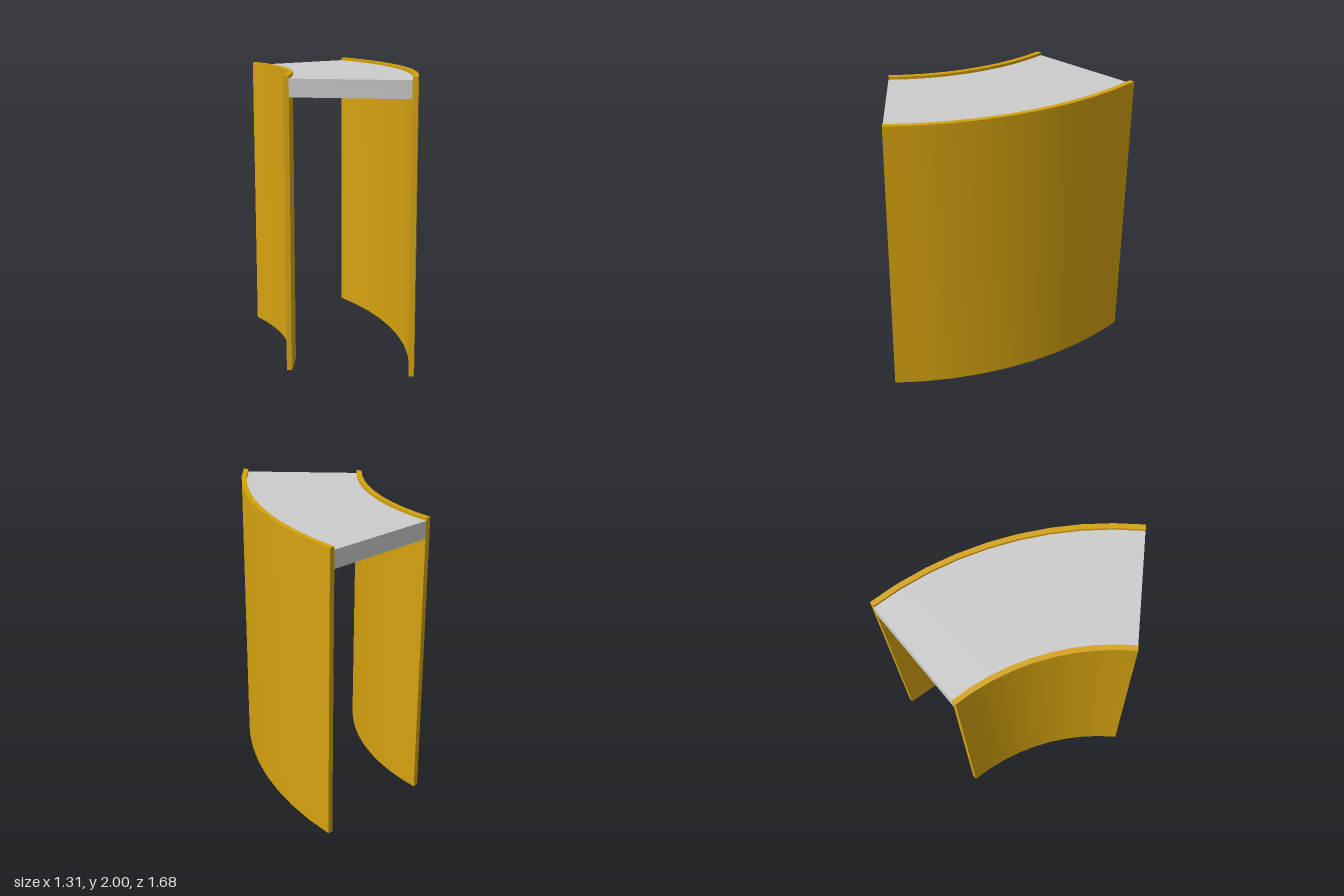
import * as THREE from 'three';
import { toCreasedNormals } from 'three/addons/utils/BufferGeometryUtils.js';

const CENTRE_X = -1.726, BACK_Z = -0.84; // centre of the bend
const SWEEP = Math.PI / 4, SEGMENTS = 9;

// A curved bar in plan between two radii, raised from y0 to y1
function arcBar(name, inner, outer, y0, y1, material) {
  const points = [];
  const add = (r, i) => {
    const a = (i / SEGMENTS) * SWEEP;
    points.push(new THREE.Vector2(CENTRE_X + r * Math.cos(a), -BACK_Z - r * Math.sin(a)));
  };
  for (let i = 0; i <= SEGMENTS; i++) add(outer, i);
  for (let i = SEGMENTS; i >= 0; i--) add(inner, i);

  const extruded = new THREE.ExtrudeGeometry(new THREE.Shape(points), { depth: y1 - y0, bevelEnabled: false });
  extruded.rotateX(-Math.PI / 2).translate(0, y0, 0);
  const mesh = new THREE.Mesh(toCreasedNormals(extruded, 0.5), material);
  mesh.name = name;
  return mesh;
}

export function createModel() {
  const ochre = new THREE.MeshStandardMaterial({ color: 0xd4a20f });
  ochre.name = 'ochre';
  const grey = new THREE.MeshStandardMaterial({ color: 0xcccccc });
  grey.name = 'light grey';

  const model = new THREE.Group();
  model.name = 'curvedPassage';
  model.add(
    arcBar('innerWall', 1.511, 1.547, 0, 2, ochre),
    arcBar('outerWall', 2.34, 2.376, 0, 2, ochre),
    arcBar('deck', 1.547, 2.34, 1.86, 1.98, grey), // slab just below the wall tops
  );
  return model;
}
